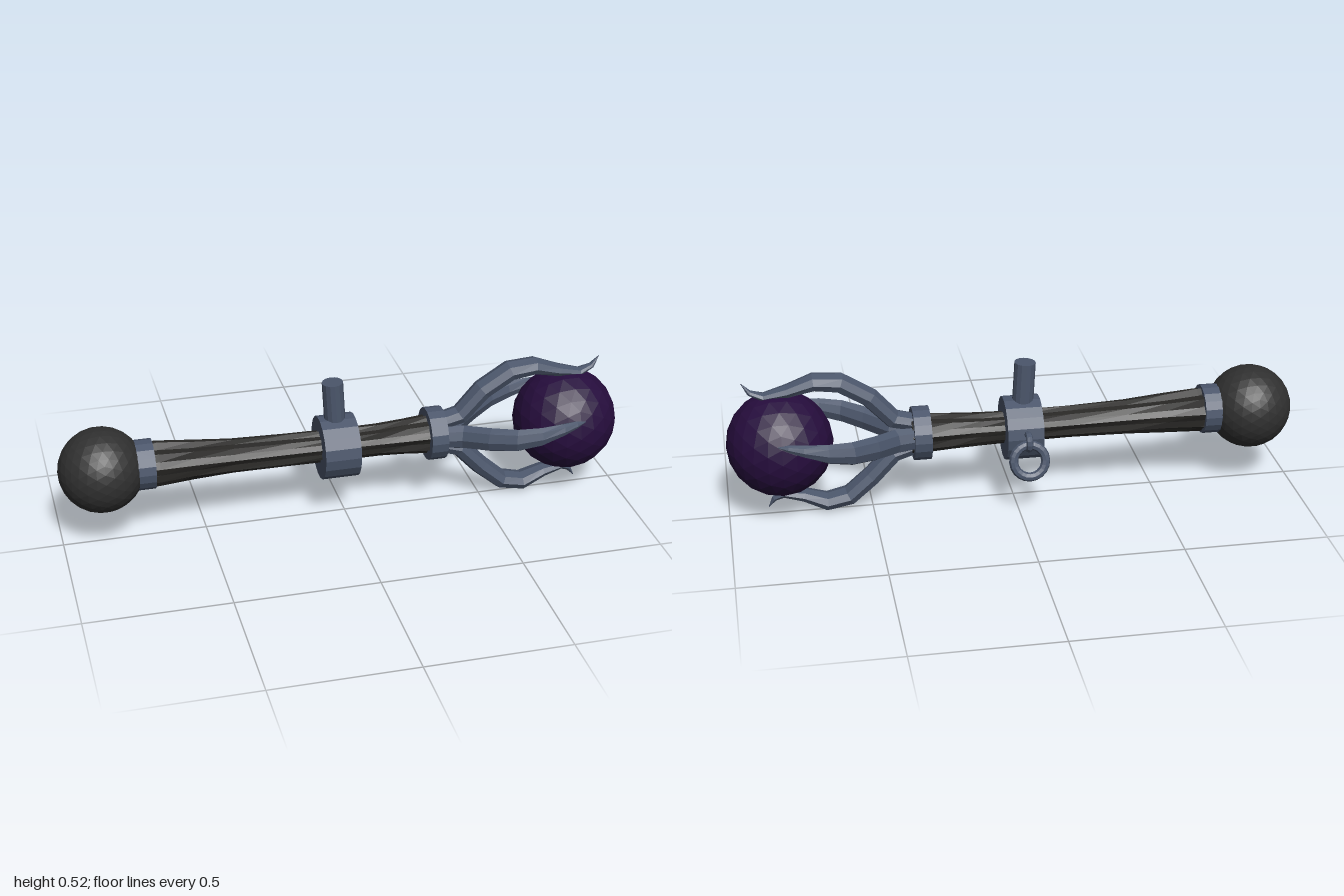
import * as THREE from 'three';

// Lofts faceted rings along a path in the xy plane.
// Section: [x, y, sideways shift in z, half thickness, half width]
function loft(sections, sides, ridge = () => 1) {
  const pos = [], idx = [], n = sections.length;
  sections.forEach(([x, y, z, t, w], i) => {
    const a = sections[Math.max(i - 1, 0)], b = sections[Math.min(i + 1, n - 1)];
    const tan = new THREE.Vector2(b[0] - a[0], b[1] - a[1]).normalize();
    for (let j = 0; j < sides; j++) {
      const q = (j / sides) * Math.PI * 2, k = ridge(j, i);
      const c = Math.cos(q) * t * k, s = Math.sin(q) * w * k;
      pos.push(x - tan.y * c, y + tan.x * c, z + s);
    }
  });
  for (let i = 0; i < n - 1; i++) {
    for (let j = 0; j < sides; j++) {
      const a = i * sides + j, b = i * sides + (j + 1) % sides;
      idx.push(a, b, a + sides, b, b + sides, a + sides);
    }
  }
  // end caps
  const last = (n - 1) * sides;
  for (let j = 1; j < sides - 1; j++) idx.push(0, j + 1, j, last, last + j, last + j + 1);
  const g = new THREE.BufferGeometry();
  g.setAttribute('position', new THREE.Float32BufferAttribute(pos, 3));
  g.setIndex(idx);
  g.computeVertexNormals();
  return g;
}

function material(name, color) {
  const m = new THREE.MeshStandardMaterial({ color, flatShading: true });
  m.name = name;
  return m;
}

export function createModel() {
  const metal = material('blue grey metal', 0x4b566b);
  const wood = material('dark wood', 0x282725);
  const stone = material('charcoal stone', 0x303030);
  const crystal = material('dark purple crystal', 0x260d3d);

  const model = new THREE.Group();
  model.name = 'sceptre';
  const add = (name, geometry, mat, x = 0, y = 0, z = 0, parent = model) => {
    const mesh = new THREE.Mesh(geometry, mat);
    mesh.name = name;
    mesh.position.set(x, y, z);
    parent.add(mesh);
    return mesh;
  };

  // Ball ends
  add('pommel', new THREE.IcosahedronGeometry(0.148, 4), stone, -0.853, 0.279, 0);
  add('orb', new THREE.IcosahedronGeometry(0.184, 3), crystal, 0.812, 0.27, 0);

  // Grooved wooden shaft, waisted in the middle
  const shaft = [
    [-0.74, 0.279, 0.08], [-0.66, 0.278, 0.078], [-0.54, 0.276, 0.069], [-0.4, 0.273, 0.062],
    [-0.2, 0.27, 0.058], [0, 0.267, 0.056], [0.12, 0.267, 0.058], [0.22, 0.268, 0.065],
    [0.36, 0.268, 0.075],
  ].map(([x, y, r]) => [x, y, 0, r, r]);
  const groove = (j, i) => (j % 2 ? 0.87 : 1) + 0.03 * Math.sin(j * 2.3 + i * 1.7);
  add('shaft', loft(shaft, 18, groove), wood);

  // Metal collars and the middle band
  const collar = (name, x0, x1, y, r) => {
    const c = add(name, new THREE.CylinderGeometry(r, r, x1 - x0, 18), metal, (x0 + x1) / 2, y, 0);
    c.rotation.z = Math.PI / 2;
  };
  collar('pommelCollar', -0.735, -0.675, 0.28, 0.087);
  collar('middleBand', -0.092, 0.035, 0.263, 0.112);
  collar('clawCollar', 0.295, 0.355, 0.268, 0.094);

  // Peg on top of the band
  const peg = add('peg', new THREE.CylinderGeometry(0.037, 0.037, 0.17, 14), metal, -0.037, 0.425, -0.004);
  peg.rotation.z = 0.055;

  // Hanging ring with its lug at the back
  const lug = add('ringLug', new THREE.TorusGeometry(0.026, 0.012, 8, 14), metal, -0.033, 0.262, -0.124);
  lug.rotation.y = Math.PI / 2;
  const ring = add('ring', new THREE.TorusGeometry(0.056, 0.016, 8, 20), metal, -0.033, 0.199, -0.146);
  ring.rotation.x = 0.3;

  // Four claws: [x, distance from axis, shift, half thickness, half width]
  const claws = new THREE.Group();
  claws.name = 'claws';
  claws.position.y = 0.268;
  model.add(claws);
  const upper = [
    [0.33, 0.04, 0, 0.03, 0.038], [0.42, 0.062, 0, 0.034, 0.04], [0.5, 0.15, 0, 0.035, 0.042],
    [0.6, 0.212, 0, 0.036, 0.042], [0.69, 0.221, 0, 0.031, 0.041], [0.78, 0.194, 0, 0.021, 0.035],
    [0.86, 0.178, 0, 0.014, 0.024], [0.905, 0.196, 0, 0.01, 0.013], [0.932, 0.232, 0, 0.001, 0.001],
  ];
  const lower = [
    [0.33, 0.04, 0, 0.03, 0.038], [0.42, 0.066, 0, 0.034, 0.042], [0.5, 0.15, 0, 0.034, 0.045],
    [0.58, 0.219, 0, 0.033, 0.047], [0.66, 0.236, 0, 0.031, 0.045], [0.74, 0.204, 0, 0.022, 0.036],
    [0.81, 0.192, 0, 0.015, 0.025], [0.842, 0.21, 0, 0.01, 0.014], [0.863, 0.242, 0, 0.001, 0.001],
  ];
  const side = [
    [0.33, 0.04, 0, 0.03, 0.04], [0.42, 0.056, 0, 0.034, 0.045], [0.5, 0.122, 0.012, 0.033, 0.045],
    [0.58, 0.172, 0.024, 0.03, 0.042], [0.66, 0.19, 0.037, 0.025, 0.035], [0.74, 0.189, 0.054, 0.02, 0.022],
    [0.79, 0.183, 0.064, 0.013, 0.013], [0.825, 0.18, 0.07, 0.001, 0.001],
  ];
  const mirrored = side.map(([x, r, s, t, w]) => [x, r, -s, t, w]);
  [
    ['upperClaw', upper, 0], ['lowerClaw', lower, Math.PI],
    ['frontClaw', mirrored, Math.PI / 2], ['backClaw', side, -Math.PI / 2],
  ].forEach(([name, path, angle]) => {
    add(name, loft(path, 8), metal, 0, 0, 0, claws).rotation.x = angle;
  });

  return model;
}
